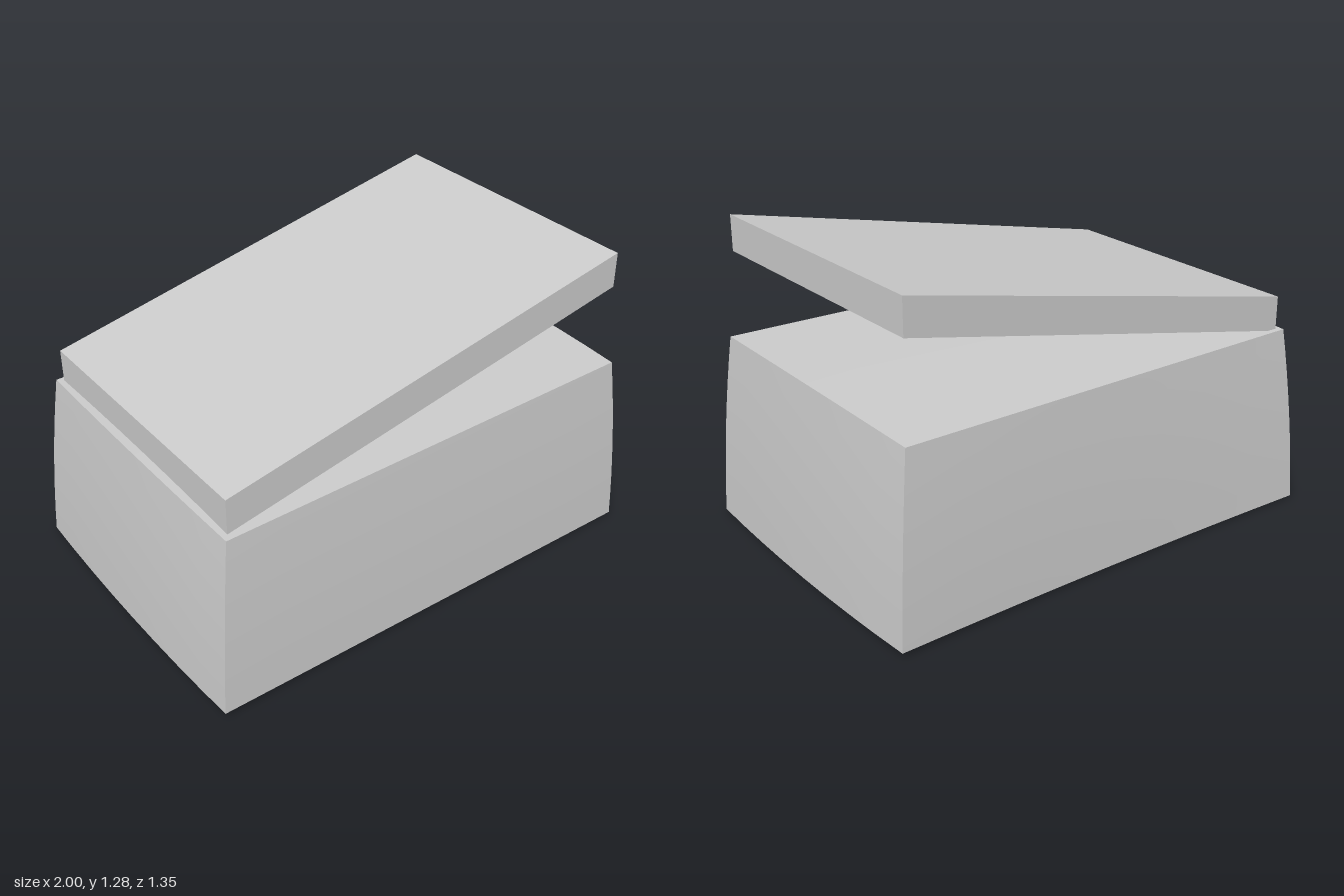
import * as THREE from 'three';

// Trilinear warp of a box onto eight corners.
// Corner order: left-to-right in x, per row: bottom back, bottom front, top back, top front.
function warpedBox(corners, segments, bulge) {
  const geometry = new THREE.BoxGeometry(2, 2, 2, segments, segments, segments);
  const pos = geometry.attributes.position;
  const unit = new THREE.Vector3();
  const point = new THREE.Vector3();
  const corner = new THREE.Vector3();
  for (let i = 0; i < pos.count; i++) {
    unit.fromBufferAttribute(pos, i);
    point.set(0, 0, 0);
    corners.forEach((c, k) => {
      const sx = k & 1 ? 1 : -1;
      const sz = k & 2 ? 1 : -1;
      const sy = k & 4 ? 1 : -1;
      const weight = (1 + sx * unit.x) * (1 + sy * unit.y) * (1 + sz * unit.z) / 8;
      point.addScaledVector(corner.fromArray(c), weight);
    });
    if (bulge) bulge(point, unit);
    pos.setXYZ(i, point.x, point.y, point.z);
  }
  geometry.computeVertexNormals();
  return geometry;
}

export function createModel() {
  const model = new THREE.Group();
  const grey = new THREE.MeshStandardMaterial({ color: 0xcccccc });
  grey.name = 'plain grey';

  function add(name, geometry) {
    const mesh = new THREE.Mesh(geometry, grey);
    mesh.name = name;
    model.add(mesh);
  }

  // Tapered chest body with softly bowed ends, base and back
  const bodyCorners = [
    [-0.988, 0.012, -0.675], [0.985, 0.02, -0.678],
    [-0.99, 0.02, 0.655], [0.985, 0.012, 0.672],
    [-0.918, 0.77, -0.625], [0.92, 0.77, -0.635],
    [-0.918, 0.77, 0.61], [0.925, 0.785, 0.625],
  ];
  add('body', warpedBox(bodyCorners, 8, (p, u) => {
    const acrossX = 1 - u.x * u.x;
    const acrossY = 1 - u.y * u.y;
    const acrossZ = 1 - u.z * u.z;
    p.x += u.x * (0.012 * acrossZ + 0.008 * acrossY);
    p.y += u.y * 0.012 * acrossZ;
    p.z += 0.015 * acrossX * (1 - u.z) * (1 - u.y) / 4 + u.z * 0.006 * acrossY;
  }));

  // Slanted lid with upright ends, resting on the left edge of the body
  const bottom = [
    [-0.895, 0.762, -0.603], [0.877, 1.128, -0.577],
    [-0.895, 0.77, 0.582], [0.893, 1.138, 0.608],
  ];
  const top = bottom.map(([x, y, z]) => [x, y + 0.147, z]);
  add('lid', warpedBox([...bottom, ...top], 1));

  return model;
}
